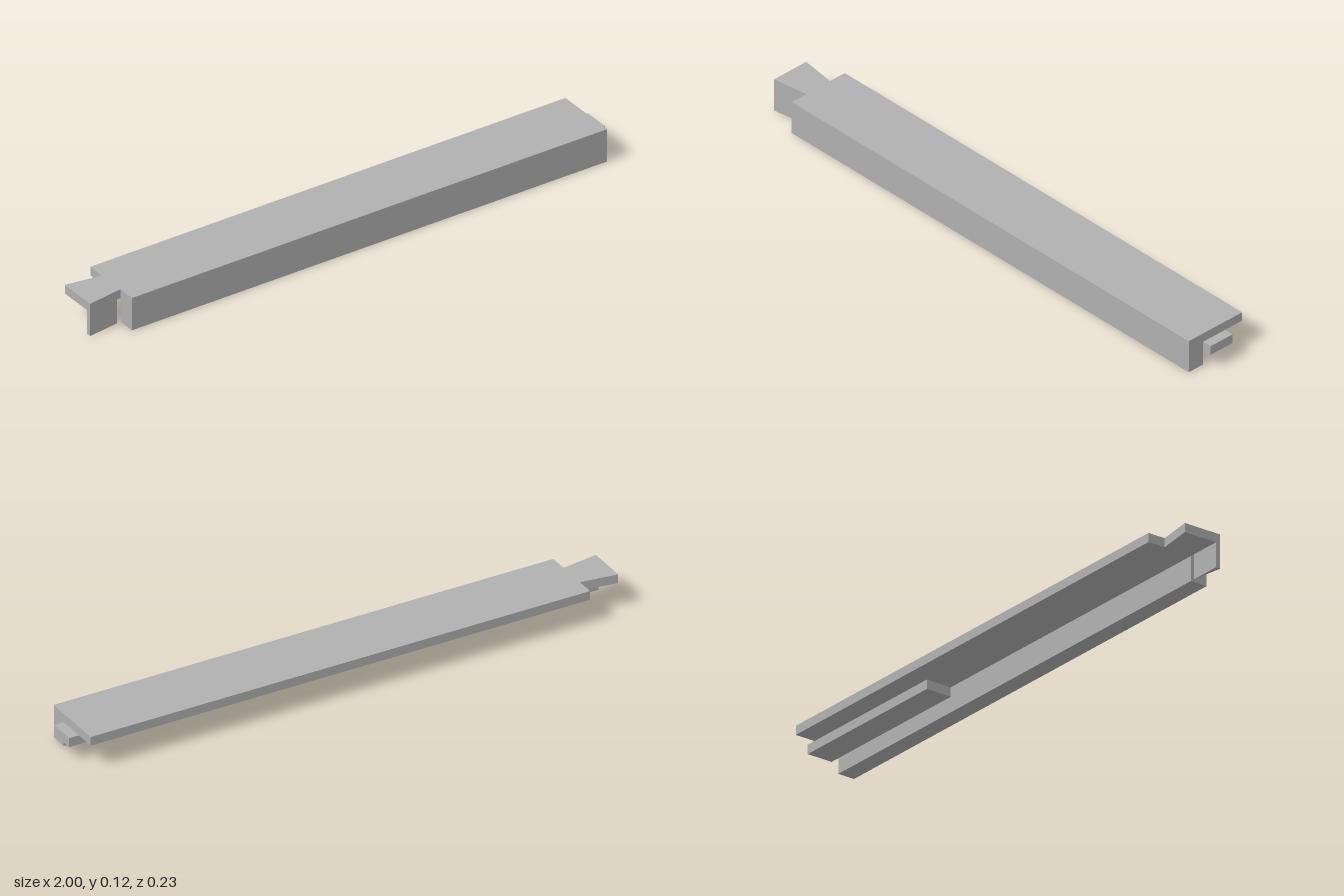
import * as THREE from 'three';

const START = -0.87, END = 0.965; // ends of the main beam along x
const TOP = 0.12, UNDER = 0.088;  // top plate faces
const INNER = 0.054, HALF = 0.117; // front wall inner face, half depth

// Extrude a plan outline of [x, z] points upward from y0 to y1
function plan(points, y0, y1) {
  const shape = new THREE.Shape(points.map(([x, z]) => new THREE.Vector2(x, -z)));
  const geo = new THREE.ExtrudeGeometry(shape, { depth: y1 - y0, bevelEnabled: false });
  return geo.rotateX(-Math.PI / 2).translate(0, y0, 0);
}

// Extrude a section of [z, y] points along x from x0 to x1
function section(points, x0, x1) {
  const shape = new THREE.Shape(points.map(([z, y]) => new THREE.Vector2(-z, y)));
  const geo = new THREE.ExtrudeGeometry(shape, { depth: x1 - x0, bevelEnabled: false });
  return geo.rotateY(Math.PI / 2).translate(x0, 0, 0);
}

export function createModel() {
  const model = new THREE.Group();
  model.name = 'jointedBeam';
  const grey = new THREE.MeshStandardMaterial({ color: 0xb0b0b0 });
  grey.name = 'grey';

  const add = (name, geo) => {
    const mesh = new THREE.Mesh(geo, grey);
    mesh.name = name;
    model.add(mesh);
  };

  // L-shaped beam: flat top with a deep front wall
  add('beam', section([
    [HALF, 0], [INNER, 0], [INNER, UNDER], [-HALF, UNDER], [-HALF, TOP], [HALF, TOP],
  ], START, END));

  // Dovetail plate flaring out of the end
  const wide = 0.071, narrow = 0.052;
  add('dovetail', plan([[-1, wide], [START, narrow], [START, -narrow], [-1, -wide]], UNDER, TOP));

  // Sliver of the front wall left below the dovetail
  add('dovetailWedge', plan([[-1, wide], [-0.885, INNER], [-1, INNER]], 0, UNDER));

  // Tongue under the top plate, sticking out of the other end
  add('tongue', section([
    [INNER, 0.055], [-0.042, 0.055], [-0.042, UNDER], [INNER, UNDER],
  ], 0.38, 1));

  return model;
}
